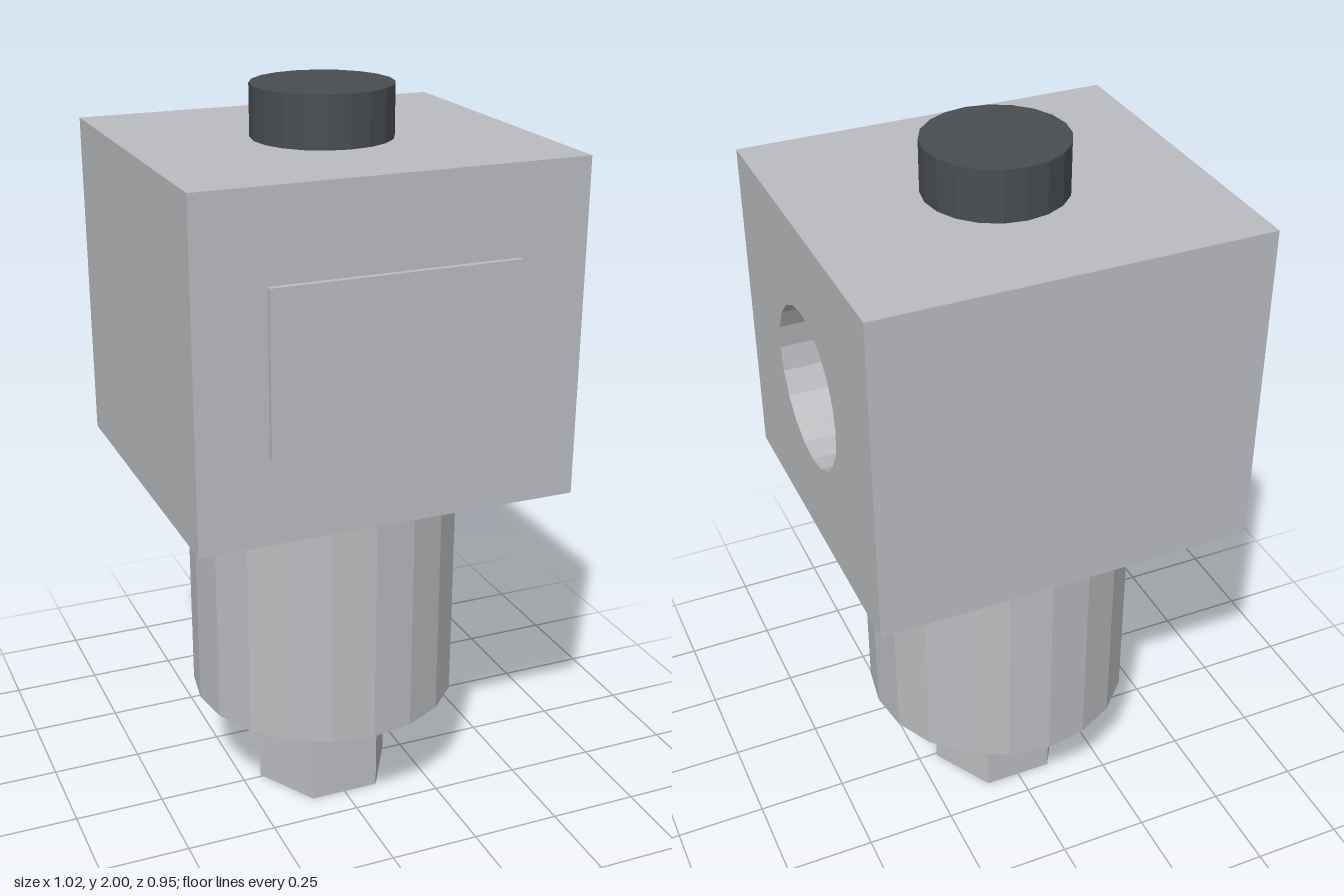
import * as THREE from 'three';

export function createModel() {
  const model = new THREE.Group();
  const material = (name, color) => {
    const m = new THREE.MeshStandardMaterial({ color, flatShading: true });
    m.name = name;
    return m;
  };
  const steel = material('steel grey', 0xbabcbf);
  const dark = material('dark cap grey', 0x494d51);
  const Z = -0.008; // axis of the housing, set back by the plate's thickness

  const add = (name, geometry, mat, x, y, z) => {
    const mesh = new THREE.Mesh(geometry, mat);
    mesh.name = name;
    mesh.position.set(x, y, z);
    model.add(mesh);
    return mesh;
  };
  const cylinder = (name, r, y0, y1, sides, mat, start = 0) =>
    add(name, new THREE.CylinderGeometry(r, r, y1 - y0, sides, 1, false, start), mat, 0, (y0 + y1) / 2, Z);

  // Stacked round parts along the vertical axis
  cylinder('hexNut', 0.196, 0, 0.21, 6, steel, Math.PI / 2);
  cylinder('neck', 0.14, 0.21, 0.305, 20, steel);
  cylinder('barrel', 0.372, 0.305, 0.98, 20, steel);
  cylinder('topCap', 0.185, 1.865, 2, 20, dark);

  // Hollow housing with a round port through the +x wall
  const W = 1.02, H = 0.885, D = 0.93, wall = 0.17, portR = 0.213, cy = 0.98 + H / 2;
  const dropFace = (geometry, face) => {
    const index = Array.from(geometry.index.array);
    index.splice(face * 6, 6);
    geometry.setIndex(index);
    geometry.clearGroups();
    return geometry;
  };
  add('housing', dropFace(new THREE.BoxGeometry(W, H, D), 0), steel, 0, cy, Z);
  const cavity = dropFace(new THREE.BoxGeometry(W - 2 * wall, H - 2 * wall, D - 2 * wall), 1);
  cavity.scale(-1, 1, 1); // mirrored, so it faces inward
  add('cavity', cavity, steel, 0, cy, Z);

  const portedFace = (w, h, turn) => {
    const s = new THREE.Shape();
    s.moveTo(-w / 2, -h / 2).lineTo(w / 2, -h / 2).lineTo(w / 2, h / 2).lineTo(-w / 2, h / 2).closePath();
    s.holes.push(new THREE.Path().absarc(0, 0, portR, 0, Math.PI * 2, true));
    return new THREE.ShapeGeometry(s, 10).rotateY(turn);
  };
  add('portFace', portedFace(D, H, Math.PI / 2), steel, W / 2, cy, Z);
  add('portInnerFace', portedFace(D - 2 * wall, H - 2 * wall, -Math.PI / 2), steel, W / 2 - wall, cy, Z);
  const bore = new THREE.CylinderGeometry(portR, portR, wall, 20, 1, true);
  bore.scale(-1, 1, 1).rotateZ(Math.PI / 2);
  add('portBore', bore, steel, W / 2 - wall / 2, cy, Z);

  // Small stud on the cavity's back wall
  const stud = new THREE.CylinderGeometry(0.03, 0.03, 0.05, 12).rotateX(Math.PI / 2);
  add('innerStud', stud, steel, 0.21, 1.34, Z - D / 2 + wall + 0.025);

  // Raised plate on the front
  add('frontPlate', new THREE.BoxGeometry(0.65, 0.42, 0.016), steel, 0, 1.422, Z + D / 2 + 0.008);

  return model;
}
